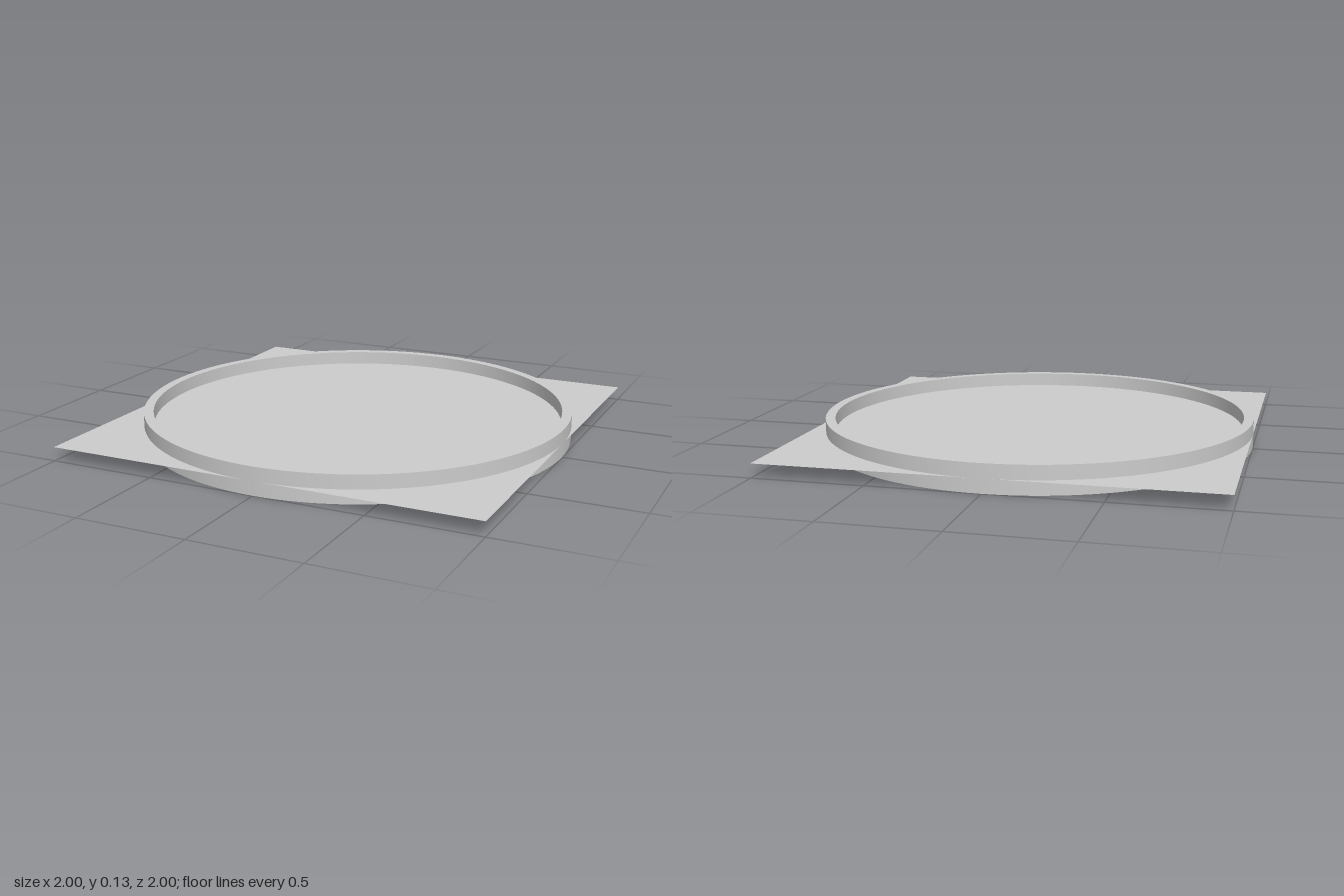
import * as THREE from 'three';
import { toCreasedNormals } from 'three/addons/utils/BufferGeometryUtils.js';

const HEIGHT = 0.127;
const OUTER = 1;
const INNER = 0.955;

export function createModel() {
  const group = new THREE.Group();
  group.name = 'ringWithSheet';

  // Round band with a rectangular section
  const profile = [
    [OUTER, 0], [OUTER, HEIGHT], [INNER, HEIGHT], [INNER, 0], [OUTER, 0],
  ].map(([r, y]) => new THREE.Vector2(r, y));
  const ring = new THREE.Mesh(
    toCreasedNormals(new THREE.LatheGeometry(profile, 128), Math.PI / 6),
    new THREE.MeshStandardMaterial({ color: 0xcccccc }),
  );
  ring.name = 'ring';
  group.add(ring);

  // Thin square sheet through the middle of the band
  const sheet = new THREE.Mesh(
    new THREE.PlaneGeometry(2 * OUTER, 2 * OUTER).rotateX(-Math.PI / 2),
    new THREE.MeshStandardMaterial({ color: 0xcccccc, side: THREE.DoubleSide }),
  );
  sheet.name = 'sheet';
  sheet.position.y = HEIGHT / 2;
  group.add(sheet);

  return group;
}
